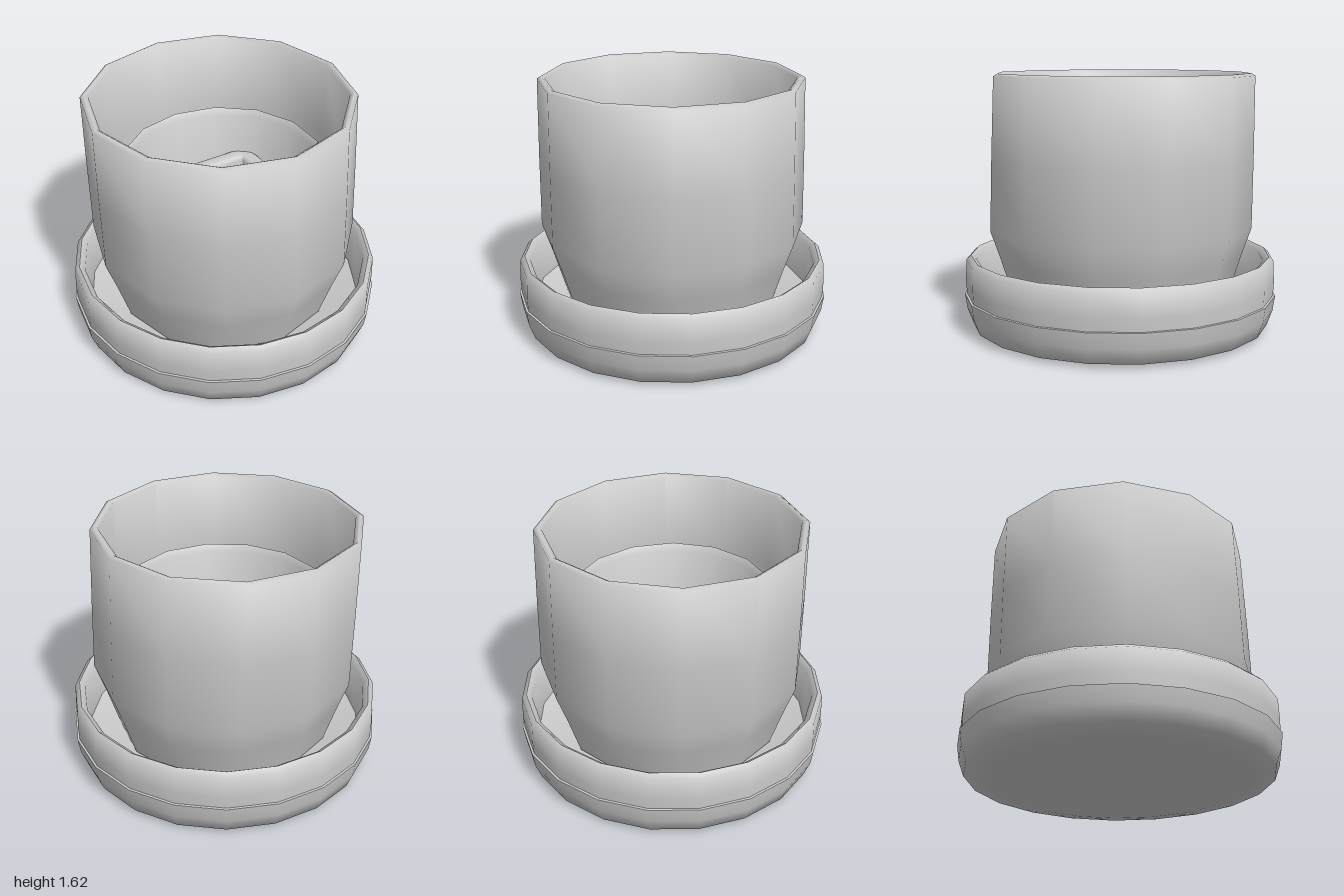
import * as THREE from 'three';
import { toCreasedNormals } from 'three/addons/utils/BufferGeometryUtils.js';

const material = new THREE.MeshStandardMaterial({ color: 0xcccccc, side: THREE.DoubleSide });

function part(name, geometry, crease = 1.1) {
  const mesh = new THREE.Mesh(toCreasedNormals(geometry, crease), material);
  mesh.name = name;
  return mesh;
}

function lathe(profile, sides, start = 0, sweep = Math.PI * 2) {
  return new THREE.LatheGeometry(profile.map(([r, y]) => new THREE.Vector2(r, y)), sides, start, sweep);
}

// Hand-made unevenness: radius wobbles around the part, and it leans by `lean` per unit of height
function uneven(geometry, wobble, lean = 0) {
  const p = geometry.attributes.position;
  for (let i = 0; i < p.count; i++) {
    const a = Math.atan2(p.getX(i), p.getZ(i));
    const k = 1 + wobble * Math.sin(3 * a + 1);
    const shift = -lean * Math.max(0, p.getY(i) - 0.65);
    p.setX(i, p.getX(i) * k + shift);
    p.setZ(i, p.getZ(i) * k + shift);
  }
  return geometry;
}

function roundedSquare(target, h, r) {
  target.moveTo(-h + r, -h);
  target.lineTo(h - r, -h).quadraticCurveTo(h, -h, h, -h + r);
  target.lineTo(h, h - r).quadraticCurveTo(h, h, h - r, h);
  target.lineTo(-h + r, h).quadraticCurveTo(-h, h, -h, h - r);
  target.lineTo(-h, -h + r).quadraticCurveTo(-h, -h, -h + r, -h);
  return target;
}

export function createModel() {
  const model = new THREE.Group();

  // Saucer: rounded base with a separate raised band around it
  model.add(part('saucerBase', uneven(lathe([
    [0, 0.025], [0.5, 0.01], [0.8, 0], [0.95, 0.025], [0.985, 0.12], [1, 0.22], [0.96, 0.225],
    [0.9, 0.19], [0, 0.19],
  ], 20), 0.002)));
  model.add(part('saucerBand', uneven(lathe([
    [0.9, 0.19], [0.985, 0.2], [0.99, 0.3], [0.985, 0.44], [0.955, 0.467], [0.92, 0.44], [0.89, 0.19],
  ], 20), 0.002)));

  // Outer pot, narrowing towards its foot
  model.add(part('outerPot', uneven(lathe([
    [0, 0.2], [0.7, 0.2], [0.78, 0.46], [0.845, 0.65], [0.84, 1.1], [0.83, 1.6], [0.805, 1.615],
    [0.78, 1.6], [0.77, 1.1], [0.75, 0.65], [0.66, 0.32], [0, 0.32],
  ], 12), 0.006, 0.018)));

  // Inner pot nested inside
  model.add(part('innerPot', uneven(lathe([
    [0, 0.33], [0.56, 0.33], [0.64, 0.6], [0.66, 1.13], [0.63, 1.17],
    [0.6, 1.13], [0.57, 0.6], [0.52, 0.4], [0, 0.4],
  ], 14), 0.006)));

  // Square container with a soft rim and a basin that narrows to its floor
  const container = new THREE.Group();
  container.name = 'squareContainer';
  const square = roundedSquare(new THREE.Shape(), 0.44, 0.1);
  square.holes.push(roundedSquare(new THREE.Path(), 0.395, 0.04));
  const wall = new THREE.ExtrudeGeometry(square, {
    depth: 0.4, bevelEnabled: true, bevelSize: 0.03, bevelThickness: 0.03, bevelSegments: 3, curveSegments: 3,
  });
  wall.rotateX(-Math.PI / 2).translate(0, 0.43, 0);
  container.add(part('squareWall', wall));
  const basin = [[0.375, 0.8], [0.36, 0.6], [0.33, 0.51], [0.28, 0.47], [0, 0.46]];
  container.add(part('squareBasin',
    lathe(basin.map(([h, y]) => [h * Math.SQRT2, y]), 4, Math.PI / 4)));
  model.add(container);

  // Small open ring standing on the container floor, gap towards its left
  model.add(part('openRing', lathe([
    [0.285, 0.46], [0.285, 0.6], [0.27, 0.612], [0.255, 0.6], [0.255, 0.46],
  ], 20, Math.PI / 2 + 0.27, Math.PI * 2 - 0.54)));

  return model;
}
